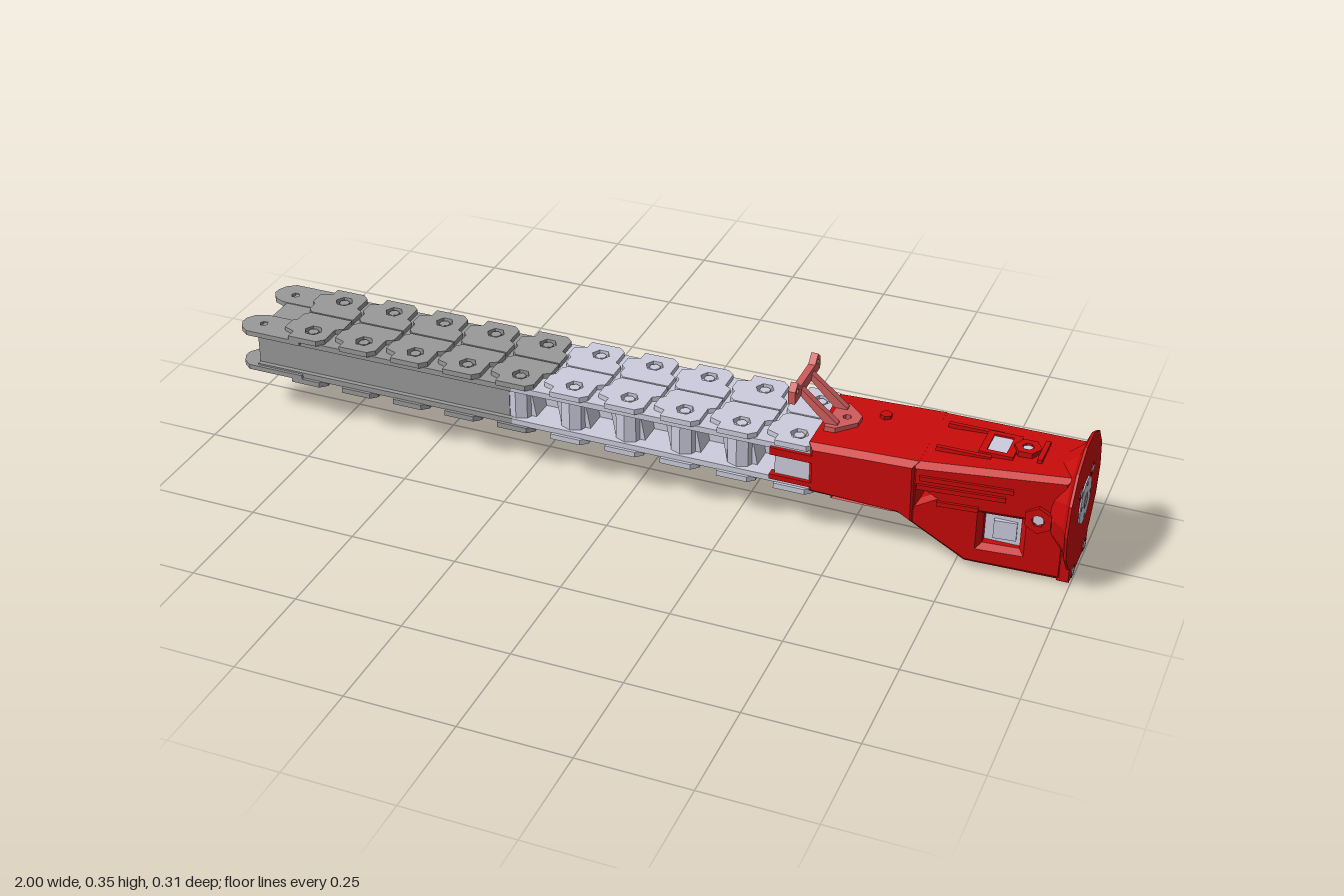
import * as THREE from 'three';

const mat = (color) => new THREE.MeshStandardMaterial({ color, flatShading: true });
const RED = mat(0xc80a0a), PINK = mat(0xd05c5c), LIGHT = mat(0xccccdd), GREY = mat(0x999999), DARK = mat(0x66666c);

function add(parent, name, geo, material, x = 0, y = 0, z = 0) {
  const m = new THREE.Mesh(geo, material);
  m.name = name;
  m.position.set(x, y, z);
  parent.add(m);
  return m;
}
const box = (p, name, material, x0, x1, y0, y1, z0, z1) =>
  add(p, name, new THREE.BoxGeometry(x1 - x0, y1 - y0, z1 - z0), material, (x0 + x1) / 2, (y0 + y1) / 2, (z0 + z1) / 2);

const poly = (pts) => new THREE.Shape(pts.map(([x, y]) => new THREE.Vector2(x, y)));
const hole = (shape, pts) => shape.holes.push(new THREE.Path(pts.map(([x, y]) => new THREE.Vector2(x, y))));
const ring = (x, y, r, n, start = 0) => Array.from({ length: n }, (_, i) => {
  const a = start + (i / n) * Math.PI * 2;
  return [x + r * Math.cos(a), y + r * Math.sin(a)];
});
const rect = (x0, x1, y0, y1) => [[x0, y0], [x1, y0], [x1, y1], [x0, y1]];

// Flat plate drawn in (x, z), its upper face at height 0
const plate = (shape, h) =>
  new THREE.ExtrudeGeometry(shape, { depth: h, bevelEnabled: false, curveSegments: 6 }).rotateX(Math.PI / 2);

// Housing block drawn in (x, y), half-width running from w0 at x0 to w1 at x1
function sideBlock(shape, x0, x1, w0, w1) {
  const b = 0.012;
  const g = new THREE.ExtrudeGeometry(shape, {
    depth: 2 - 2 * b / 0.1, bevelThickness: b / 0.1, bevelSize: b, bevelOffset: -b, bevelSegments: 1,
  });
  g.translate(0, 0, -(1 - b / 0.1));
  const p = g.attributes.position;
  for (let i = 0; i < p.count; i++) {
    const t = (p.getX(i) - x0) / (x1 - x0);
    p.setZ(i, p.getZ(i) * (w0 + (w1 - w0) * t));
  }
  g.computeVertexNormals();
  return g;
}

const PITCH = 0.133, FIRST = -0.948, MID = 0.167;

// Half of the chain beam above or below the middle, mirrored for the other
function chainFace(side) {
  const g = new THREE.Group();
  g.name = side > 0 ? 'upperChain' : 'lowerChain';
  g.position.y = MID;
  g.scale.y = side;

  box(g, 'greyBasePlate', GREY, -0.95, -0.29, 0.036, 0.05, -0.113, 0.113);
  box(g, 'lightBasePlate', LIGHT, -0.29, 0.42, 0.036, 0.05, -0.113, 0.113);

  for (const s of [-1, 1]) {
    // rounded end tongues
    const tip = poly([[-0.83, 0.12], [-0.97, 0.12], [-0.99, 0.105], [-1, 0.085], [-1, 0.067], [-0.985, 0.045], [-0.96, 0.035], [-0.83, 0.035]]);
    hole(tip, ring(FIRST, 0.075, 0.01, 6));
    add(g, 'endTongue', plate(tip, 0.012), GREY, 0, 0.052, 0).scale.z = s;

    for (let i = 1; i < 11; i++) {
      const x = FIRST + i * PITCH;
      const m = i < 6 ? GREY : LIGHT;
      const link = poly([[-0.042, 0.12], [0.03, 0.12], [0.046, 0.105], [0.046, 0.055], [0.062, 0.045], [0.062, 0.002],
        [-0.048, 0.002], [-0.06, 0.015], [-0.06, 0.04], [-0.07, 0.05], [-0.07, 0.085], [-0.042, 0.095]]);
      hole(link, ring(0, 0.075, 0.021, 6));
      add(g, 'linkPlate', plate(link, 0.013), m, x, 0.062, 0).scale.z = s;
      add(g, 'linkBolt', new THREE.CylinderGeometry(0.013, 0.013, 0.012, 6), m, x, 0.053, s * 0.075);
    }
  }
  return g;
}

function chainBeam() {
  const g = new THREE.Group();
  g.name = 'chainBeam';
  g.add(chainFace(1), chainFace(-1));
  for (const s of [-1, 1]) {
    box(g, 'greySideWall', GREY, -0.95, -0.3, 0.128, 0.207, s * 0.095 - 0.007, s * 0.095 + 0.007);
    for (let i = 5; i < 11; i++) {
      const x = FIRST + i * PITCH;
      // slanted spacer blocks and rollers between the plates
      const block = poly([[-0.03, 0.132], [0.042, 0.132], [0.028, 0.204], [-0.044, 0.204]]);
      const geo = new THREE.ExtrudeGeometry(block, { depth: 0.06, bevelEnabled: false });
      add(g, 'spacerBlock', geo, LIGHT, x, 0, s > 0 ? 0.025 : -0.085);
      add(g, 'roller', new THREE.CylinderGeometry(0.034, 0.034, 0.072, 8), LIGHT, x, MID, s * 0.073);
    }
  }
  box(g, 'centreWeb', LIGHT, -0.3, 0.42, 0.13, 0.205, -0.03, 0.03);
  box(g, 'endBlock', LIGHT, 0.34, 0.43, 0.135, 0.2, -0.112, 0.112);
  return g;
}

function housing() {
  const g = new THREE.Group();
  g.name = 'housing';

  // front sleeve with a through window
  const sleeve = poly([[0.415, 0.11], [0.62, 0.104], [0.66, 0.085], [0.66, 0.244], [0.415, 0.235]]);
  hole(sleeve, rect(0.485, 0.6, 0.125, 0.2));
  add(g, 'frontSleeve', sideBlock(sleeve, 0.415, 0.66, 0.121, 0.121), RED);

  // tapered rear body with a port on each side
  const rear = poly([[0.645, 0.09], [0.77, 0.012], [0.985, 0.004], [0.985, 0.262], [0.645, 0.243]]);
  hole(rear, rect(0.805, 0.885, 0.065, 0.14));
  hole(rear, ring(0.645 + 0.03, 0.165, 0.016, 3));
  add(g, 'rearBody', sideBlock(rear, 0.645, 0.985, 0.12, 0.086), RED);
  box(g, 'portInsert', LIGHT, 0.795, 0.895, 0.055, 0.15, -0.075, 0.075);
  box(g, 'bottomCover', GREY, 0.79, 0.96, 0.001, 0.03, -0.063, 0.063);

  // details shared by both sides
  for (const s of [-1, 1]) {
    const side = new THREE.Group();
    side.name = s > 0 ? 'leftDetails' : 'rightDetails';
    side.scale.z = s;
    g.add(side);
    for (const [y0, y1] of [[0.128, 0.14], [0.19, 0.208]])
      box(side, 'frontProng', RED, 0.33, 0.44, y0, y1, 0.1, 0.121);
    for (const [x, y, len] of [[0.755, 0.19, 0.19], [0.765, 0.212, 0.2], [0.75, 0.155, 0.09]])
      add(side, 'sideRib', new THREE.BoxGeometry(len, 0.011, 0.012), RED, x, y, 0.12 - (x - 0.645) * 0.1).rotation.y = 0.1;
    const sunk = add(side, 'portStep', new THREE.BoxGeometry(0.05, 0.045, 0.01), LIGHT, 0.85, 0.1, 0.078);
    sunk.rotation.y = 0.1;
    const boss = poly(ring(0, 0, 0.032, 6, Math.PI / 6));
    hole(boss, ring(0, 0, 0.015, 6));
    add(side, 'sideBoss', new THREE.ExtrudeGeometry(boss, { depth: 0.014, bevelEnabled: false }), RED, 0.922, 0.155, 0.088);
    add(side, 'sideBolt', new THREE.CylinderGeometry(0.013, 0.013, 0.01, 6).rotateX(Math.PI / 2), LIGHT, 0.922, 0.155, 0.093);
    box(side, 'topRail', RED, 0.68, 0.8, 0.246, 0.256, 0.045, 0.055);
  }

  // top port, raised boss and ridges
  const frame = poly(rect(0.77, 0.845, -0.045, 0.045));
  hole(frame, rect(0.785, 0.828, -0.032, 0.032));
  add(g, 'topPortFrame', plate(frame, 0.02), RED, 0, 0.261, 0);
  box(g, 'topPort', LIGHT, 0.783, 0.83, 0.245, 0.257, -0.034, 0.034);
  const topBoss = poly(ring(0.866, 0, 0.03, 6));
  hole(topBoss, ring(0.866, 0, 0.013, 6));
  add(g, 'topBoss', plate(topBoss, 0.025), RED, 0, 0.268, 0);
  add(g, 'topBolt', new THREE.CylinderGeometry(0.012, 0.012, 0.012, 6), LIGHT, 0.866, 0.258, 0);
  box(g, 'topCrossRidge', RED, 0.895, 0.906, 0.25, 0.266, -0.04, 0.04);
  add(g, 'topStud', new THREE.CylinderGeometry(0.014, 0.014, 0.01, 6), RED, 0.54, 0.243, -0.045);
  return g;
}

function rearFlange() {
  const g = new THREE.Group();
  g.name = 'rearFlange';
  const disc = (name, r1, r0, x0, x1, n, m, y = 0.165, z = 0) =>
    add(g, name, new THREE.CylinderGeometry(r1, r0, x1 - x0, n).rotateZ(-Math.PI / 2), m, (x0 + x1) / 2, y, z);
  disc('flangeNeck', 0.125, 0.095, 0.945, 0.98, 14, RED);
  disc('flangeFlare', 0.152, 0.125, 0.98, 0.99, 14, RED);
  disc('flangeRim', 0.153, 0.152, 0.99, 0.996, 14, RED);
  // foot of the flange with clipped corners
  const foot = poly([[-0.085, 0.006], [-0.077, 0], [0.077, 0], [0.085, 0.006], [0.085, 0.07], [-0.085, 0.07]]);
  add(g, 'flangeFoot', new THREE.ExtrudeGeometry(foot, { depth: 0.026, bevelEnabled: false }).rotateY(Math.PI / 2), RED, 0.97);
  disc('hub', 0.054, 0.054, 0.98, 0.999, 10, LIGHT);
  disc('hubCentre', 0.018, 0.018, 0.98, 1, 6, GREY);
  for (const [z, y] of ring(0, 0.165, 0.04, 4)) disc('hubPin', 0.006, 0.006, 0.98, 1, 3, DARK, y, z);
  for (const z of [-0.053, 0.053])
    for (const y of [0.016, 0.213]) {
      disc('flangeBoss', 0.016, 0.016, 0.98, 0.998, 5, RED, y, z);
      disc('flangeBolt', 0.009, 0.009, 0.98, 1, 5, LIGHT, y, z);
    }
  return g;
}

function sightBracket() {
  const g = new THREE.Group();
  g.name = 'sightBracket';
  // triangular foot
  const foot = poly([[0.43, -0.055], [0.455, -0.055], [0.495, -0.015], [0.495, 0.015], [0.455, 0.055], [0.43, 0.055]]);
  hole(foot, ring(0.465, 0, 0.01, 6));
  add(g, 'bracketFoot', plate(foot, 0.016), PINK, 0, 0.248, 0);
  // leaning arms
  const arm = poly([[0.435, 0.24], [0.46, 0.24], [0.455, 0.252], [0.37, 0.322], [0.358, 0.316]]);
  for (const s of [-1, 1])
    add(g, 'bracketArm', new THREE.ExtrudeGeometry(arm, { depth: 0.016, bevelEnabled: false }), PINK, 0, 0, s * 0.035 - 0.008);
  // crossbar with two pierced horns, drawn in (z, y)
  const bar = poly([[-0.085, 0.305], [0.085, 0.305], [0.085, 0.335], [0.068, 0.35], [0.048, 0.331],
    [-0.048, 0.331], [-0.068, 0.35], [-0.085, 0.335]]);
  for (const s of [-1, 1]) hole(bar, ring(s * 0.068, 0.329, 0.007, 6));
  add(g, 'bracketBar', new THREE.ExtrudeGeometry(bar, { depth: 0.016, bevelEnabled: false }).rotateY(Math.PI / 2), PINK, 0.356);
  return g;
}

export function createModel() {
  const model = new THREE.Group();
  model.name = 'chainBeamTool';
  model.add(chainBeam(), housing(), rearFlange(), sightBracket());
  return model;
}
